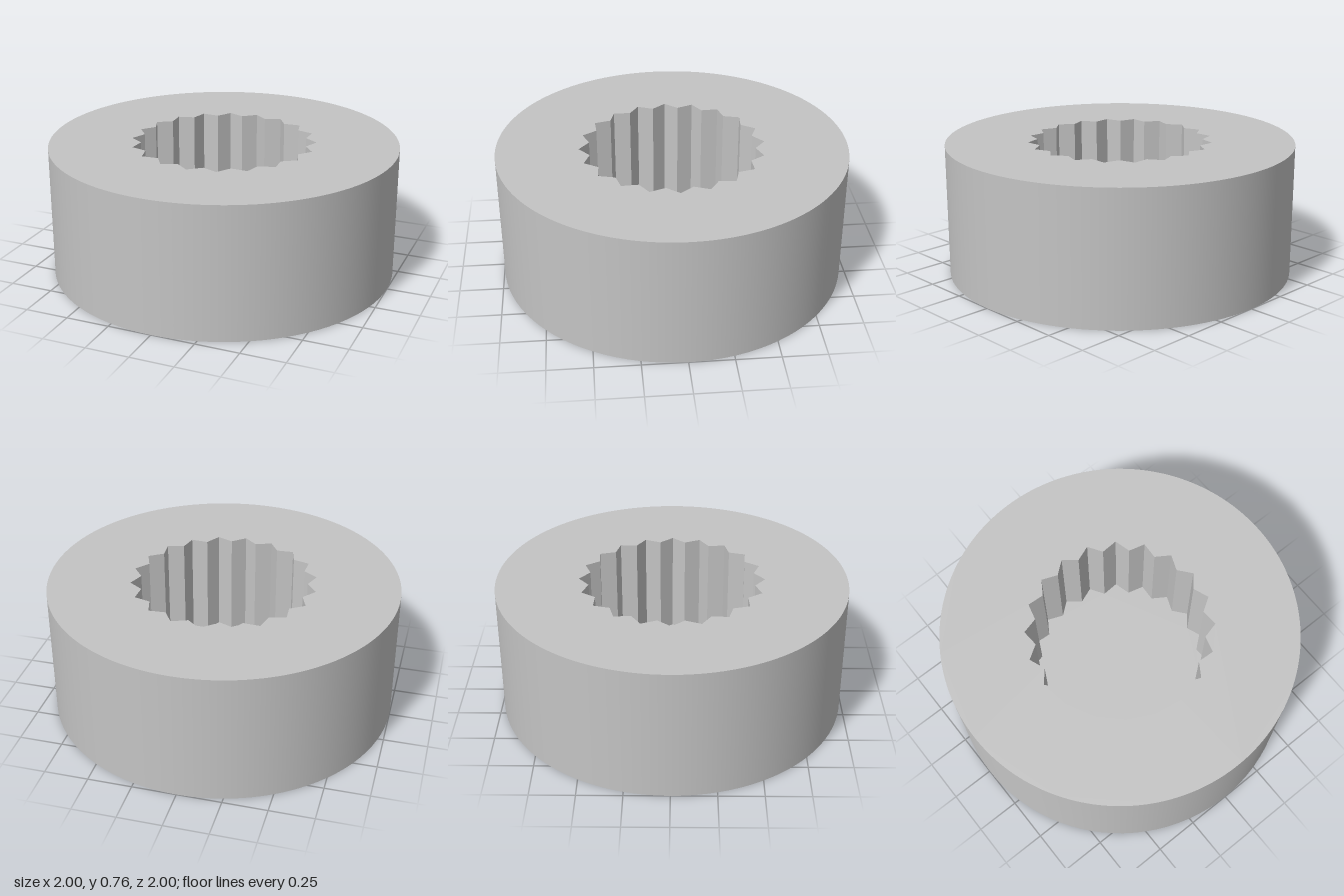
import * as THREE from 'three';

const RADIUS = 1, HEIGHT = 0.76, FLOOR = 0.15;
const TEETH = 20, TIP = 0.53, ROOT = 0.475, SEGMENTS = 96;

// Radius of the serrated outline: even points are tips, odd points are roots
const toothRadius = (i) => (i % 2 === 0 ? TIP : ROOT);

function serratedPoints() {
  return Array.from({ length: TEETH * 2 }, (_, i) => {
    const a = (i * Math.PI) / TEETH;
    return new THREE.Vector2(Math.cos(a), Math.sin(a)).multiplyScalar(toothRadius(i));
  });
}

// Flat face looking up at height y
function flatFace(shape, y) {
  return new THREE.ShapeGeometry(shape, SEGMENTS).rotateX(-Math.PI / 2).translate(0, y, 0);
}

// Upright toothed wall with its faces turned inward
function toothedWall() {
  const depth = HEIGHT - FLOOR;
  const geo = new THREE.CylinderGeometry(1, 1, depth, TEETH * 2, 1, true);
  const pos = geo.attributes.position;
  for (let i = 0; i < pos.count; i++) {
    const r = toothRadius(i % (TEETH * 2 + 1));
    pos.setXYZ(i, pos.getX(i) * r, pos.getY(i), pos.getZ(i) * r);
  }
  geo.scale(-1, 1, 1); // mirroring turns the faces inward
  const flat = geo.toNonIndexed();
  flat.computeVertexNormals();
  return flat.translate(0, FLOOR + depth / 2, 0);
}

export function createModel() {
  const group = new THREE.Group();
  group.name = 'splinedCollar';
  const grey = new THREE.MeshStandardMaterial({ color: 0xc4c4c4 });
  grey.name = 'light grey';

  const add = (name, geometry) => {
    const mesh = new THREE.Mesh(geometry, grey);
    mesh.name = name;
    group.add(mesh);
  };

  // Round body
  add('outerWall', new THREE.CylinderGeometry(RADIUS, RADIUS, HEIGHT, SEGMENTS, 1, true).translate(0, HEIGHT / 2, 0));
  add('base', new THREE.CircleGeometry(RADIUS, SEGMENTS).rotateX(Math.PI / 2));

  // Top rim with the serrated opening
  const rim = new THREE.Shape().absarc(0, 0, RADIUS, 0, Math.PI * 2, false);
  rim.holes.push(new THREE.Path(serratedPoints()));
  add('topRim', flatFace(rim, HEIGHT));

  // Blind splined socket
  add('socketWall', toothedWall());
  add('socketFloor', flatFace(new THREE.Shape(serratedPoints()), FLOOR));

  return group;
}
